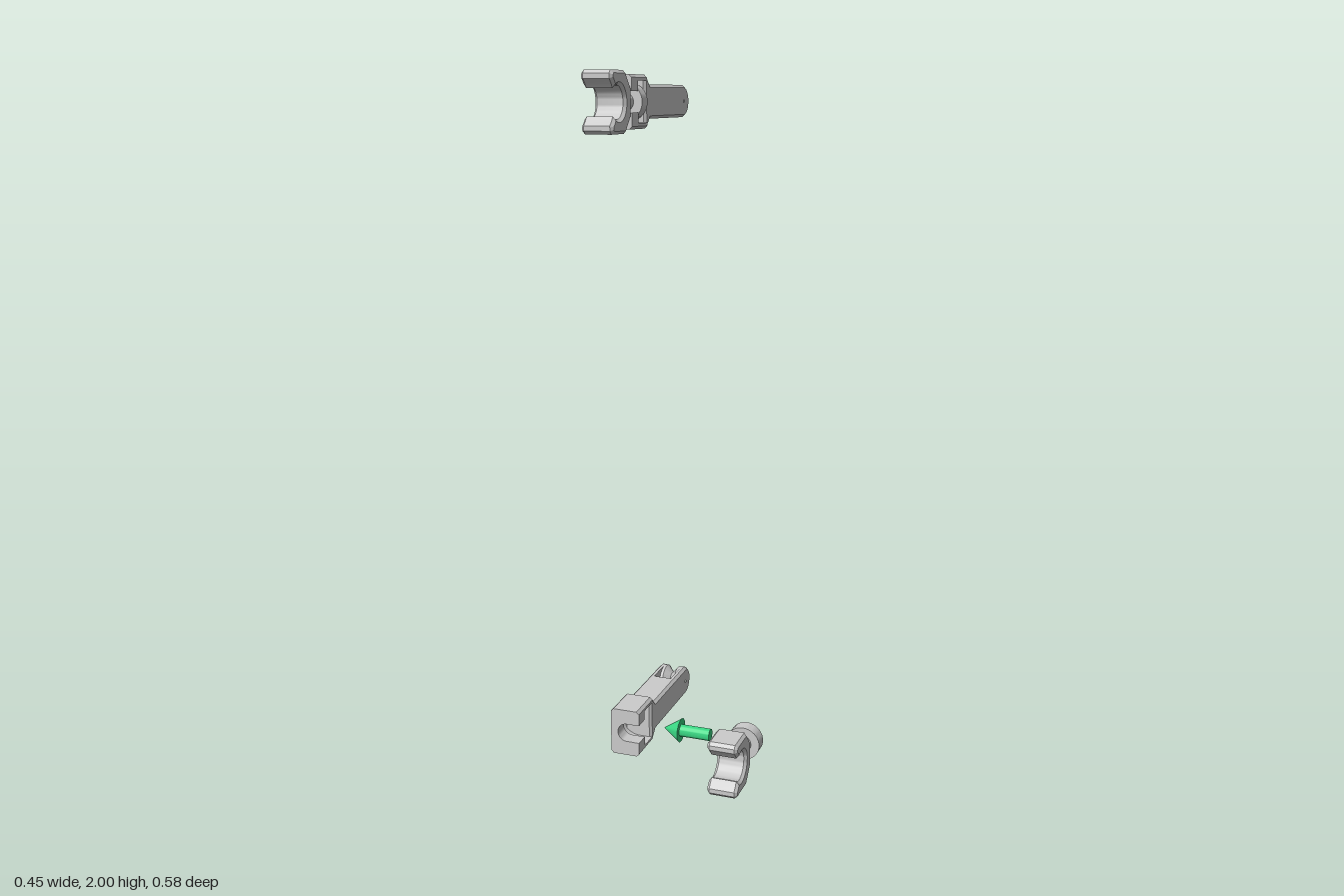
import * as THREE from 'three';
import { toCreasedNormals } from 'three/addons/utils/BufferGeometryUtils.js';

const grey = new THREE.MeshStandardMaterial({ color: 0xcccccc });
const green = new THREE.MeshStandardMaterial({ color: 0x3ad884 });
const HALF = 0.045; // half width of the arm
const BEVEL = 0.008;

function add(group, name, geometry, material = grey) {
  const mesh = new THREE.Mesh(toCreasedNormals(geometry, 0.5), material);
  mesh.name = name;
  group.add(mesh);
  return mesh;
}

const toShape = (pts) => new THREE.Shape(pts.map(([x, y]) => new THREE.Vector2(x, y)));

// upper half of a [z, y] outline, mirrored below the centre line
const mirrorY = (pts) => [...pts, ...pts.slice().reverse().map(([z, y]) => [z, -y])];

// points along an arc
function arc(cx, cy, r, a0, a1, n = 16) {
  return Array.from({ length: n + 1 }, (_, i) => {
    const a = a0 + ((a1 - a0) * i) / n;
    return [cx + r * Math.cos(a), cy + r * Math.sin(a)];
  });
}

// side outline in [z, y], bevelled and extruded to the given width, still along local z
function bevelled(pts, width, hole) {
  const shape = toShape(pts.map(([z, y]) => [-z, y]));
  if (hole) shape.holes.push(hole);
  return new THREE.ExtrudeGeometry(shape, {
    depth: width - 2 * BEVEL, bevelThickness: BEVEL, bevelSize: BEVEL,
    bevelOffset: -BEVEL, bevelSegments: 1, curveSegments: 24,
  }).translate(0, 0, BEVEL - width / 2);
}

// front outline in [x, y], extruded between two z values
function slab(pts, z0, z1) {
  return new THREE.ExtrudeGeometry(toShape(pts), { depth: z1 - z0, bevelEnabled: false }).translate(0, 0, z0);
}

function createArm() {
  const arm = new THREE.Group();
  arm.name = 'arm';
  const r = 0.046, pivotZ = -0.246;

  // shank widening into the head
  add(arm, 'shank', bevelled(mirrorY([[-0.155, r], [0.02, r], [0.047, 0.072], [0.055, 0.072]]), 2 * HALF)
    .rotateY(Math.PI / 2));

  // fork prongs, bevelled on the outer side only, with a pivot hole
  const prong = [...arc(pivotZ, 0, r, Math.PI / 2, Math.PI * 1.5, 24), [-0.1, -r], [-0.1, r]];
  for (const s of [1, -1]) {
    const hole = new THREE.Path().absarc(-pivotZ, 0, 0.012, 0, Math.PI * 2, true);
    const g = bevelled(prong, 0.034, hole);
    const p = g.attributes.position;
    for (let i = 0; i < p.count; i++) p.setZ(i, Math.max(p.getZ(i), 0));
    g.translate(0, 0, HALF - 0.017);
    if (s < 0) g.rotateX(Math.PI);
    add(arm, s > 0 ? 'leftProng' : 'rightProng', g.rotateY(Math.PI / 2));
  }

  // grooved hub between the prongs, dimpled at both ends
  const hub = [[0, -0.02], [0.012, -0.03], [r - 0.001, -0.03], [r - 0.001, -0.019], [0.024, 0],
    [r - 0.001, 0.019], [r - 0.001, 0.03], [0.012, 0.03], [0, 0.02]];
  add(arm, 'groovedHub', new THREE.LatheGeometry(hub.map(([a, b]) => new THREE.Vector2(a, b)), 40)
    .rotateZ(Math.PI / 2).translate(0, 0, pivotZ));

  // head rails around the round socket, which breaks through the -x wall
  const R = 0.056, cx = 0.005, top = 0.072, c = HALF - BEVEL;
  const corner = [[HALF, top - BEVEL], [c, top], [-c, top], [-HALF, top - BEVEL]];
  const start = Math.PI - Math.acos((HALF + cx) / R);
  const rail = [...arc(cx, 0, R, start, Math.PI / 2, 12), [HALF, R], ...corner];
  add(arm, 'upperRail', slab(rail, 0.047, 0.112));
  add(arm, 'lowerRail', slab(rail.map(([x, y]) => [x, -y]), 0.047, 0.112));

  // front plate with the neck slot open to +x
  const plate = [[HALF, 0.028], ...arc(cx, 0, 0.028, Math.PI / 2, Math.PI * 1.5), [HALF, -0.028],
    ...corner.map(([x, y]) => [x, -y]), ...corner.slice().reverse()];
  add(arm, 'frontPlate', slab(plate, 0.112, 0.158));
  return arm;
}

function createConnector() {
  const connector = new THREE.Group();
  connector.name = 'connector';
  // disc and neck
  const turned = (name, r, z0, z1) => add(connector, name,
    new THREE.CylinderGeometry(r, r, z1 - z0, 40).rotateX(Math.PI / 2).translate(0.005, 0, (z0 + z1) / 2));
  turned('disc', 0.05, 0.068, 0.108);
  turned('neck', 0.025, 0.105, 0.17);
  // C-shaped claw open to the front
  const outer = [[0.158, 0.038], [0.175, 0.058], [0.197, 0.082], [0.281, 0.082], [0.29, 0.073], [0.29, 0.06], [0.277, 0.047]];
  const claw = [...outer, ...arc(0.243, 0, 0.044, 0.95, Math.PI * 2 - 0.95, 28),
    ...outer.slice().reverse().map(([z, y]) => [z, -y])];
  add(connector, 'claw', bevelled(claw, 2 * HALF).rotateY(Math.PI / 2));
  return connector;
}

function createArrow() {
  const arrow = new THREE.Group();
  arrow.name = 'arrow';
  add(arrow, 'arrowShaft', new THREE.CylinderGeometry(0.018, 0.018, 0.093, 32)
    .rotateZ(Math.PI / 2).translate(0.0215, 0, 0), green);
  add(arrow, 'arrowHead', new THREE.ConeGeometry(0.036, 0.054, 32)
    .rotateZ(Math.PI / 2).translate(-0.052, 0, 0), green);
  return arrow;
}

export function createModel() {
  const model = new THREE.Group();
  model.name = 'clipArmAssembly';
  const low = 0.082, high = 1.918, armX = -0.18;
  const place = (part, name, x, y, z = 0) => {
    part.name = name;
    part.position.set(x, y, z);
    model.add(part);
  };
  // assembled pair above
  place(createArm(), 'assembledArm', armX, high);
  place(createConnector(), 'assembledConnector', armX, high);
  // separated pair below, with the arrow between
  place(createArm(), 'looseArm', armX, low);
  place(createConnector(), 'looseConnector', 0.169, low);
  place(createArrow(), 'arrow', 0, low + 0.003, 0.093);
  return model;
}
